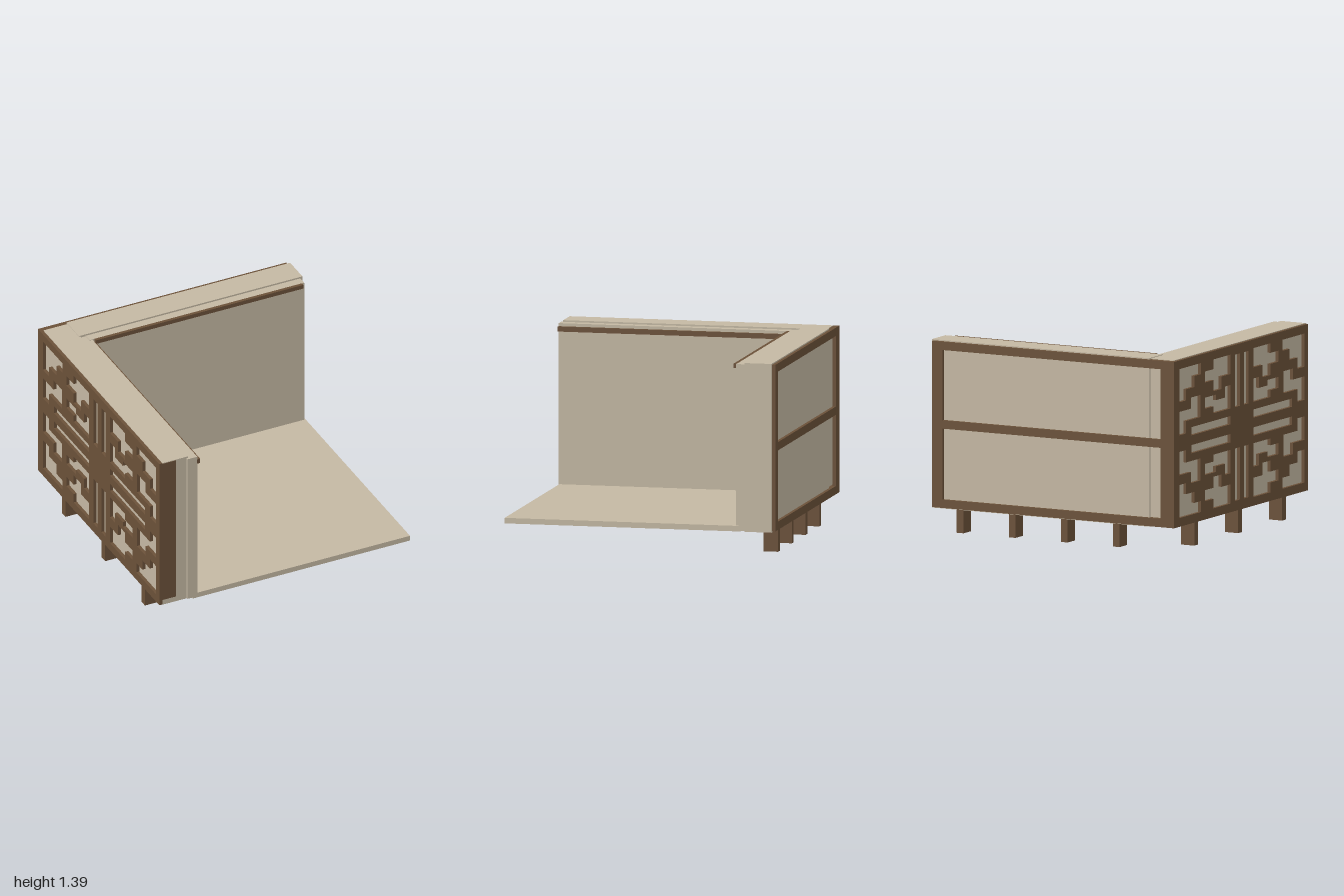
import * as THREE from 'three';

export function createModel() {
  const group = new THREE.Group();
  const fabric = new THREE.MeshStandardMaterial({ color: 0xc4b8a3 });
  fabric.name = 'beige fabric';
  const wood = new THREE.MeshStandardMaterial({ color: 0x6b5139 });
  wood.name = 'brown wood';

  // Box given by its limits on each axis
  const box = (name, mat, [x0, x1], [y0, y1], [z0, z1]) => {
    const mesh = new THREE.Mesh(new THREE.BoxGeometry(x1 - x0, y1 - y0, z1 - z0), mat);
    mesh.position.set((x0 + x1) / 2, (y0 + y1) / 2, (z0 + z1) / 2);
    mesh.name = name;
    group.add(mesh);
    return mesh;
  };
  const rect = (a, b, c, d) => [[a, c], [b, c], [b, d], [a, d]];
  const toPoints = (pts) => pts.map(([a, b]) => new THREE.Vector2(a, b));

  // Flat board with cut-outs
  const board = (name, outline, holes, depth) => {
    const shape = new THREE.Shape(toPoints(outline));
    holes.forEach((h) => shape.holes.push(new THREE.Path(toPoints(h))));
    const geo = new THREE.ExtrudeGeometry(shape, { depth, bevelEnabled: false });
    const mesh = new THREE.Mesh(geo, wood);
    mesh.name = name;
    group.add(mesh);
    return mesh;
  };

  // Seat slab
  box('seat', fabric, [-0.74, 0.99], [0.167, 0.207], [-0.74, 0.99]);

  // Back wall: thick core and thinner inner pad
  box('backCore', fabric, [-0.785, 0.997], [0.167, 1.388], [-0.975, -0.775]);
  box('backPad', fabric, [-0.73, 0.98], [0.17, 1.376], [-0.78, -0.71]);
  box('backTrim', wood, [-0.69, 0.962], [1.345, 1.376], [-0.712, -0.688]);

  // Side wall: thick core and thinner inner pad
  box('sideCore', fabric, [-0.976, -0.775], [0.175, 1.384], [-0.96, 0.978]);
  box('sidePad', fabric, [-0.785, -0.707], [0.18, 1.372], [-0.775, 0.995]);
  box('sideTrim', wood, [-0.709, -0.685], [1.314, 1.35], [-0.709, 0.997]);
  box('sideEndPanel', wood, [-0.976, -0.87], [0.217, 1.379], [0.975, 0.981]);

  // Open frame behind the back wall
  board('backFrame', rect(-1, 0.98, 0.175, 1.38),
    [rect(-0.89, 0.895, 0.235, 0.75), rect(-0.89, 0.895, 0.81, 1.32)], 0.024).position.z = -1;
  for (const y of [0.175, 1.32]) {
    box('cornerRail', wood, [-0.976, -0.79], [y, y + 0.06], [-0.977, -0.96]);
  }

  // Fretwork openings of one quarter, measured from the panel centre
  const quarter = [
    rect(0.17, 0.74, 0.035, 0.095),
    rect(0.03, 0.1, 0.15, 0.53),
    // stepped opening beside the vertical slot
    [[0.17, 0.4], [0.3, 0.4], [0.3, 0.31], [0.42, 0.31], [0.42, 0.39], [0.54, 0.39],
      [0.54, 0.47], [0.42, 0.47], [0.42, 0.54], [0.17, 0.54]],
    // stepped opening above the horizontal slot
    [[0.17, 0.15], [0.42, 0.15], [0.42, 0.2], [0.54, 0.2], [0.54, 0.28], [0.38, 0.28],
      [0.38, 0.24], [0.25, 0.24], [0.25, 0.32], [0.17, 0.32]],
    // corner opening
    [[0.6, 0.46], [0.7, 0.46], [0.7, 0.38], [0.82, 0.38], [0.82, 0.3], [0.92, 0.3],
      [0.92, 0.54], [0.6, 0.54]],
    // outer opening
    [[0.61, 0.15], [0.82, 0.15], [0.82, 0.06], [0.92, 0.06], [0.92, 0.23], [0.75, 0.23],
      [0.75, 0.31], [0.61, 0.31]],
  ];
  const holes = [];
  for (const su of [-1, 1]) for (const sv of [-1, 1]) {
    quarter.forEach((q) => holes.push(q.map(([u, v]) => [su * u, 0.778 + sv * v])));
  }
  const lattice = board('sideLattice', rect(-0.978, 0.975, 0.175, 1.38), holes, 0.024);
  lattice.rotation.y = -Math.PI / 2;
  lattice.position.x = -0.976;

  // Legs under both walls
  for (const x of [-0.513, -0.087, 0.339, 0.765]) {
    box('backLeg', wood, [x - 0.028, x + 0.028], [0, 0.168], [-0.975, -0.868]);
  }
  for (const z of [-0.63, 0.016, 0.663]) {
    box('sideLeg', wood, [-0.976, -0.869], [0, 0.176], [z - 0.028, z + 0.028]);
  }
  return group;
}
